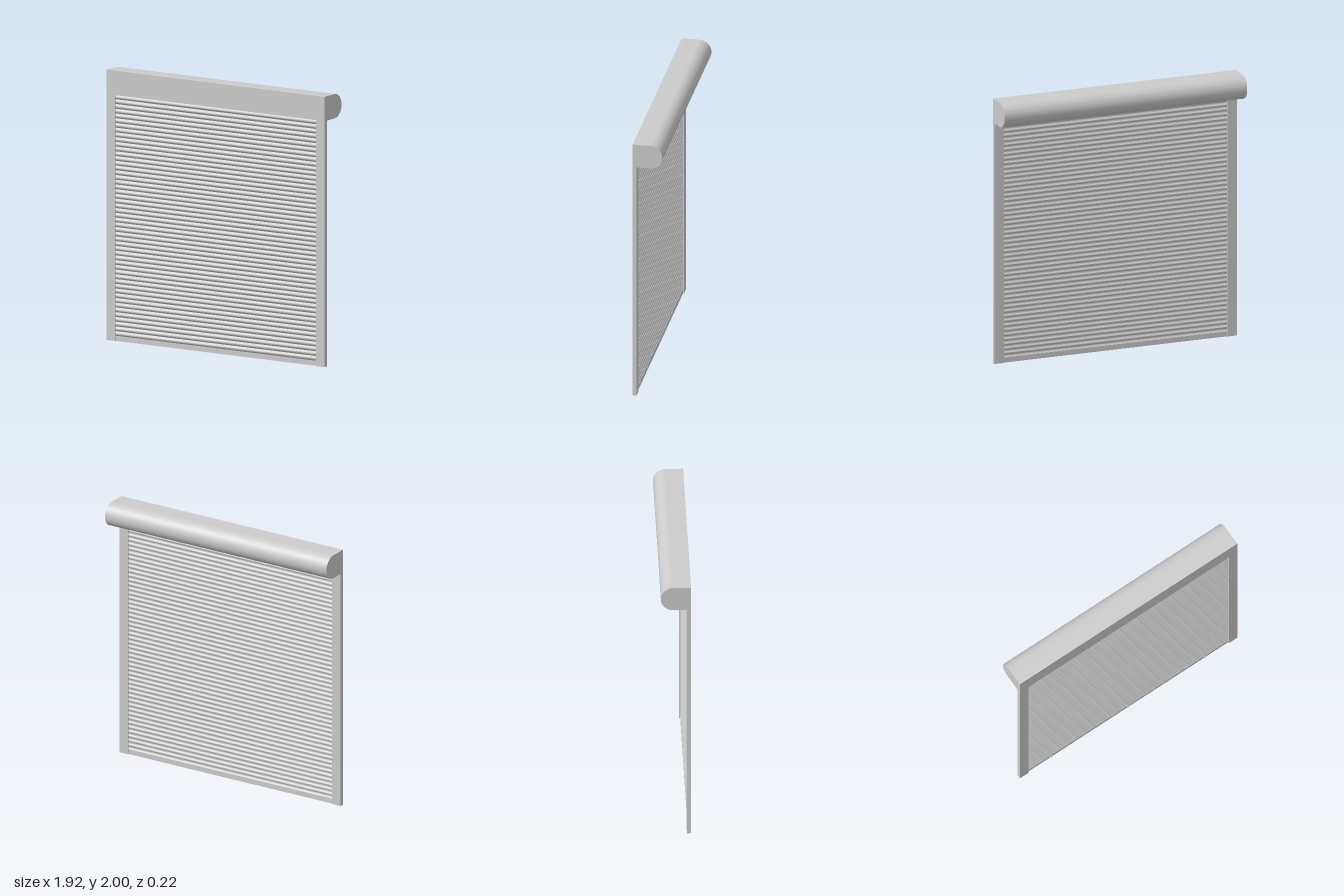
import * as THREE from 'three';
import { toCreasedNormals } from 'three/addons/utils/BufferGeometryUtils.js';

const material = new THREE.MeshStandardMaterial({ color: 0xcccccc });

function addMesh(parent, geometry, name) {
  const mesh = new THREE.Mesh(geometry, material);
  mesh.name = name;
  parent.add(mesh);
  return mesh;
}

// Sweeps a closed side profile (shape x = -z, shape y = y) across the width, centred on x = 0
function sweepAcross(shape, width, curveSegments = 12) {
  const g = new THREE.ExtrudeGeometry(shape, { depth: width, bevelEnabled: false, curveSegments });
  g.translate(0, 0, -width / 2);
  g.rotateY(Math.PI / 2);
  return toCreasedNormals(g, 0.6);
}

export function createModel() {
  const group = new THREE.Group();
  const top = 2, sill = 1.82, halfWidth = 0.96, front = 0.11;

  // Roller housing: flat front, rounded back
  const r = (top - sill) / 2;
  const box = new THREE.Shape();
  box.moveTo(-front, sill);
  box.lineTo(0.02, sill);
  box.absarc(0.02, sill + r, r, -Math.PI / 2, Math.PI / 2, false);
  box.lineTo(-front, top);
  box.closePath();
  addMesh(group, sweepAcross(box, halfWidth * 2, 32), 'rollerHousing');

  // Guide rails: U channels open towards the curtain
  for (const side of [1, -1]) {
    const outline = [
      [0.885, 0.08], [0.96, 0.08], [0.96, 0.11], [0.885, 0.11],
      [0.885, 0.105], [0.953, 0.105], [0.953, 0.085], [0.885, 0.085],
    ].map(([x, z]) => new THREE.Vector2(x * side, -z));
    const rail = new THREE.ExtrudeGeometry(new THREE.Shape(outline), { depth: sill, bevelEnabled: false });
    rail.rotateX(-Math.PI / 2);
    addMesh(group, rail, side > 0 ? 'leftGuideRail' : 'rightGuideRail');
  }

  // Curtain: thin curved slats bulging to the front
  const pitch = 0.035, count = 52, curtainWidth = 1.81;
  const slatShape = new THREE.Shape();
  const steps = 8, gap = 0.001;
  const bow = (t, base, depth) => -(base + depth * Math.sin(Math.PI * t));
  slatShape.moveTo(bow(0, 0.092, 0.011), gap);
  for (let i = 1; i <= steps; i++) {
    slatShape.lineTo(bow(i / steps, 0.092, 0.011), gap + (pitch - gap) * i / steps);
  }
  for (let i = steps; i >= 0; i--) {
    slatShape.lineTo(bow(i / steps, 0.088, 0.010), gap + (pitch - gap) * i / steps);
  }
  slatShape.closePath();
  const slatGeometry = sweepAcross(slatShape, curtainWidth);
  const curtain = new THREE.Group();
  curtain.name = 'curtain';
  group.add(curtain);
  for (let i = 1; i < count; i++) {
    addMesh(curtain, slatGeometry, 'slat').position.y = i * pitch;
  }

  // Interlocking hinge strip behind each joint
  const hingeGeometry = new THREE.BoxGeometry(curtainWidth, 0.006, 0.004);
  for (let i = 1; i < count; i++) {
    addMesh(curtain, hingeGeometry, 'slatHinge').position.set(0, i * pitch, 0.0895);
  }

  // Bottom bar with three stop bolts
  const bar = addMesh(group, new THREE.BoxGeometry(curtainWidth, pitch - gap, 0.014), 'bottomBar');
  bar.position.set(0, (pitch - gap) / 2, 0.094);
  const boltGeometry = new THREE.CylinderGeometry(0.008, 0.008, 0.008, 16);
  boltGeometry.rotateX(Math.PI / 2);
  for (const x of [-0.68, 0, 0.68]) {
    addMesh(group, boltGeometry, 'stopBolt').position.set(x, 0.019, 0.104);
  }

  return group;
}
